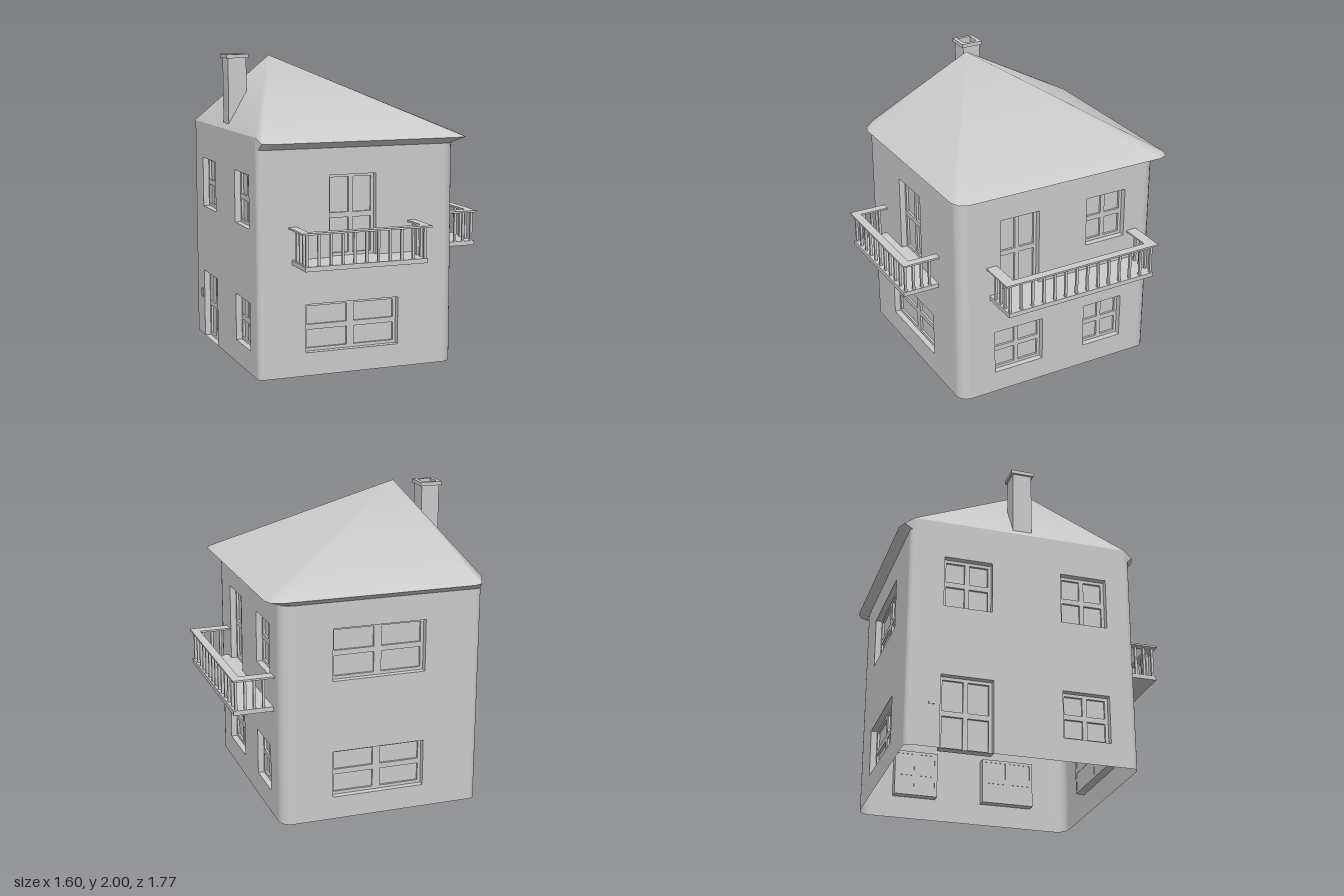
import * as THREE from 'three';

const mat = new THREE.MeshStandardMaterial({ color: 0xcccccc });
const thin = new THREE.MeshStandardMaterial({ color: 0xcccccc, side: THREE.DoubleSide });

// Wall footprint and heights
const X0 = -0.8, X1 = 0.535, Z0 = -0.83, Z1 = 0.63, WALL_TOP = 1.44;
const R_LEFT = 0.04, R_RIGHT = 0.08;

function add(parent, name, geometry, material = mat) {
  const mesh = new THREE.Mesh(geometry, material);
  mesh.name = name;
  parent.add(mesh);
  return mesh;
}

function box(parent, name, w, h, d, x, y, z) {
  add(parent, name, new THREE.BoxGeometry(w, h, d)).position.set(x, y, z);
}

const polygon = (pts) => pts.map(([x, y]) => new THREE.Vector2(x, y));
const rect = (a, b, c, d) => polygon([[a, c], [b, c], [b, d], [a, d]]);

function shapeWithHoles(outline, holes) {
  const shape = new THREE.Shape(outline);
  holes.forEach((h) => shape.holes.push(new THREE.Path(h)));
  return shape;
}

// Extrudes a plan shape (shape y becomes z) downwards from height top
function plate(shape, top, thickness) {
  return new THREE.ExtrudeGeometry(shape, { depth: thickness, bevelEnabled: false })
    .rotateX(Math.PI / 2).translate(0, top, 0);
}

// Skin between two closed loops with equal point counts
function band(lower, upper) {
  const n = lower.length, index = [];
  for (let i = 0; i < n; i++) {
    const j = (i + 1) % n;
    index.push(i, j, n + j, i, n + j, n + i);
  }
  const g = new THREE.BufferGeometry().setFromPoints([...lower, ...upper]);
  g.setIndex(index);
  const flat = g.toNonIndexed();
  flat.computeVertexNormals();
  return flat;
}

// Plan centres of the rounded corners, anticlockwise seen from above
function corners(x0, x1, z0, z1, rl, rr) {
  return [
    [x1 - rr, z1 - rr, rr], [x1 - rr, z0 + rr, rr],
    [x0 + rl, z0 + rl, rl], [x0 + rl, z1 - rl, rl],
  ];
}

function roundedLoop(cs, y, segments = 2) {
  const pts = [];
  cs.forEach(([cx, cz, r], k) => {
    for (let i = 0; i <= segments; i++) {
      const t = (k + i / segments) * Math.PI / 2;
      pts.push(new THREE.Vector3(cx + r * Math.sin(t), y, cz + r * Math.cos(t)));
    }
  });
  return pts;
}

// Recessed two-by-two casement, local wall surface at z = 0
function casement(parent, name, [u0, u1, y0, y1]) {
  const group = new THREE.Group();
  group.name = name;
  parent.add(group);
  const depth = 0.04, edge = 0.02, gap = u1 - u0 > 0.5 ? 0.05 : 0.03;
  const um = (u0 + u1) / 2, ym = (y0 + y1) / 2;
  const panes = [];
  for (const [a, b] of [[u0 + edge, um - gap / 2], [um + gap / 2, u1 - edge]])
    for (const [c, d] of [[y0 + edge, ym - 0.017], [ym + 0.017, y1 - edge]])
      panes.push(rect(a, b, c, d));
  const frame = shapeWithHoles(rect(u0, u1, y0, y1), panes);
  add(group, 'frame', new THREE.ExtrudeGeometry(frame, { depth: 0.018, bevelEnabled: false })
    .translate(0, 0, -depth - 0.018));
  add(group, 'glass', new THREE.PlaneGeometry(u1 - u0, y1 - y0).translate(um, ym, -depth - 0.015), thin);
  const loop = (z) => rect(u0, u1, y0, y1).map((p) => new THREE.Vector3(p.x, p.y, z));
  add(group, 'reveal', band(loop(0), loop(-depth)), thin);
}

// One flat wall with its openings; u runs to the viewer's right
function facade(parent, name, uMin, uMax, x, z, angle, openings) {
  const group = new THREE.Group();
  group.name = name;
  group.position.set(x, 0, z);
  group.rotation.y = angle;
  parent.add(group);
  const outline = [[uMin, 0]];
  const holes = [];
  for (const [a, b, c, d] of openings) {
    if (c === 0) outline.push([a, 0], [a, d], [b, d], [b, 0]);
    else holes.push(rect(a, b, c, d));
  }
  outline.push([uMax, 0], [uMax, WALL_TOP], [uMin, WALL_TOP]);
  add(group, 'wall', new THREE.ShapeGeometry(shapeWithHoles(polygon(outline), holes)), thin);
  openings.forEach((o) => casement(group, o[3] - o[2] > 0.4 ? 'door' : 'window', o));
  return group;
}

// Balcony with slab, flat U-shaped handrail and square balusters
function balcony(parent, u0, u1, depth, inset, posts) {
  const group = new THREE.Group();
  group.name = 'balcony';
  parent.add(group);
  const s0 = u0 + 0.022, s1 = u1 - 0.025, sd = depth - 0.008;
  box(group, 'slab', s1 - s0, 0.03, sd, (s0 + s1) / 2, 0.735, sd / 2);
  const rail = new THREE.Shape(polygon([
    [u0, 0], [u0 + inset, 0], [u0 + inset, depth - 0.055], [u1 - inset, depth - 0.055],
    [u1 - inset, 0], [u1, 0], [u1, depth], [u0, depth],
  ]));
  add(group, 'handrail', plate(rail, 0.957, 0.012));
  const a = s0 + 0.015, b = s1 - 0.015, front = depth - 0.026;
  const baluster = (u, z) => box(group, 'baluster', 0.016, 0.2, 0.016, u, 0.848, z);
  for (let i = 0; i < posts; i++) baluster(a + (b - a) * i / (posts - 1), front);
  for (let i = 1; i < 4; i++) {
    baluster(a, front * i / 4);
    baluster(b, front * i / 4);
  }
}

export function createModel() {
  const house = new THREE.Group();
  house.name = 'house';

  // Walls: lower storey y 0.15 to 0.46, upper storey y 0.93 to 1.27
  const front = facade(house, 'frontFacade', X0 + R_LEFT, X1 - R_RIGHT, 0, Z1, 0,
    [[-0.49, 0.14, 0.15, 0.46], [-0.33, -0.015, 0.75, 1.27]]);
  const side = facade(house, 'balconySideFacade', -Z1 + R_RIGHT, -Z0 - R_RIGHT, X1, 0, Math.PI / 2,
    [[-0.375, -0.015, 0.15, 0.46], [0.305, 0.6, 0.15, 0.46],
      [-0.335, -0.05, 0.75, 1.27], [0.305, 0.6, 0.93, 1.27]]);
  facade(house, 'backFacade', -X1 + R_RIGHT, -X0 - R_LEFT, 0, Z0, Math.PI,
    [[-0.195, 0.42, 0.15, 0.46], [-0.195, 0.42, 0.93, 1.27]]);
  const entry = facade(house, 'entranceFacade', Z0 + R_LEFT, Z1 - R_LEFT, X0, 0, -Math.PI / 2,
    [[-0.62, -0.29, 0, 0.47], [0.15, 0.455, 0.15, 0.46],
      [-0.61, -0.3, 0.93, 1.27], [0.15, 0.455, 0.93, 1.27]]);
  box(entry, 'wallPlate', 0.04, 0.06, 0.008, -0.67, 0.3, 0);

  // Rounded wall corners
  const wallCorners = corners(X0, X1, Z0, Z1, R_LEFT, R_RIGHT);
  wallCorners.forEach(([x, z, r], k) => {
    add(house, 'wallCorner', new THREE.CylinderGeometry(r, r, WALL_TOP, 5, 1, true, k * Math.PI / 2, Math.PI / 2), thin)
      .position.set(x, WALL_TOP / 2, z);
  });

  // Eaves and off-centre smooth hipped roof; the entrance side has no overhang
  const eave = roundedLoop(corners(X0, 0.623, -0.89, 0.68, 0.08, 0.085), 1.48);
  eave.forEach((p) => { if (p.x < X0 + 0.01) p.y = 1.515; });
  add(house, 'eaves', band(roundedLoop(wallCorners, WALL_TOP), eave), thin);
  const n = eave.length;
  const roof = new THREE.BufferGeometry().setFromPoints([...eave, new THREE.Vector3(-0.52, 1.995, 0.015)]);
  roof.setIndex(eave.flatMap((_, i) => [i, (i + 1) % n, n]));
  roof.computeVertexNormals();
  add(house, 'roof', roof, thin);

  // Hollow chimney with a projecting cap
  const flue = () => rect(-0.768, -0.672, -0.143, -0.047);
  add(house, 'chimneyStack', plate(shapeWithHoles(rect(-0.78, -0.657, -0.158, -0.033), [flue()]), 1.98, 0.46));
  add(house, 'chimneyCap', plate(shapeWithHoles(rect(-0.793, -0.645, -0.17, -0.02), [flue()]), 2, 0.025));

  // Balconies on the front and the side
  balcony(front, -0.6, 0.26, 0.255, 0.055, 11);
  balcony(side, -0.435, 0.7, 0.265, 0.075, 14);

  return house;
}
